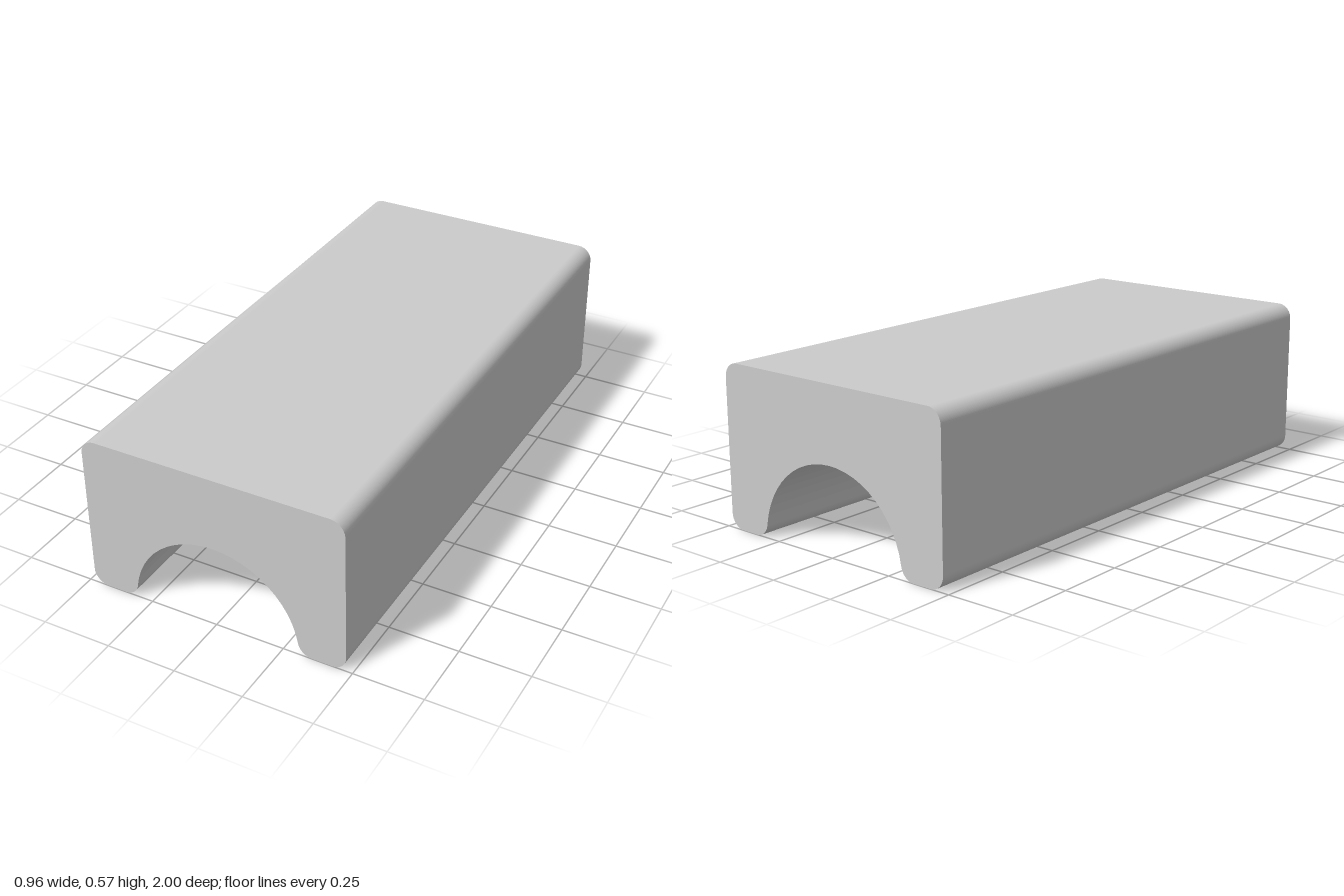
import * as THREE from 'three';

const HALF_WIDTH = 0.478, HEIGHT = 0.575, LENGTH = 2;
const ARCH = 0.308;  // radius of the channel, centred on the ground
const R = 0.053;     // radius of every rounded edge

// Block outline with rounded corners and a half-round channel below
function profile() {
  const x = HALF_WIDTH - R, y = HEIGHT - R;
  const a = Math.asin(R / (ARCH + R));       // where a foot fillet meets the arch
  const footX = (ARCH + R) * Math.cos(a);
  const q = Math.PI / 2;
  const s = new THREE.Shape();
  s.moveTo(-x, 0);
  s.absarc(-footX, R, R, -q, -a, false);     // left inner foot
  s.absarc(0, 0, ARCH, Math.PI - a, a, true); // arch
  s.absarc(footX, R, R, Math.PI + a, 3 * q, false); // right inner foot
  s.absarc(x, R, R, -q, 0, false);           // outer corners
  s.absarc(x, y, R, 0, q, false);
  s.absarc(-x, y, R, q, 2 * q, false);
  s.absarc(-x, R, R, 2 * q, 3 * q, false);
  return s;
}

export function createModel() {
  const group = new THREE.Group();
  group.name = 'channelBlock';
  const geometry = new THREE.ExtrudeGeometry(profile(), {
    depth: LENGTH, bevelEnabled: false, curveSegments: 12,
  });
  geometry.translate(0, 0, -LENGTH / 2);
  const block = new THREE.Mesh(geometry, new THREE.MeshStandardMaterial({ color: 0xcccccc }));
  block.name = 'archedBlock';
  group.add(block);
  return group;
}
